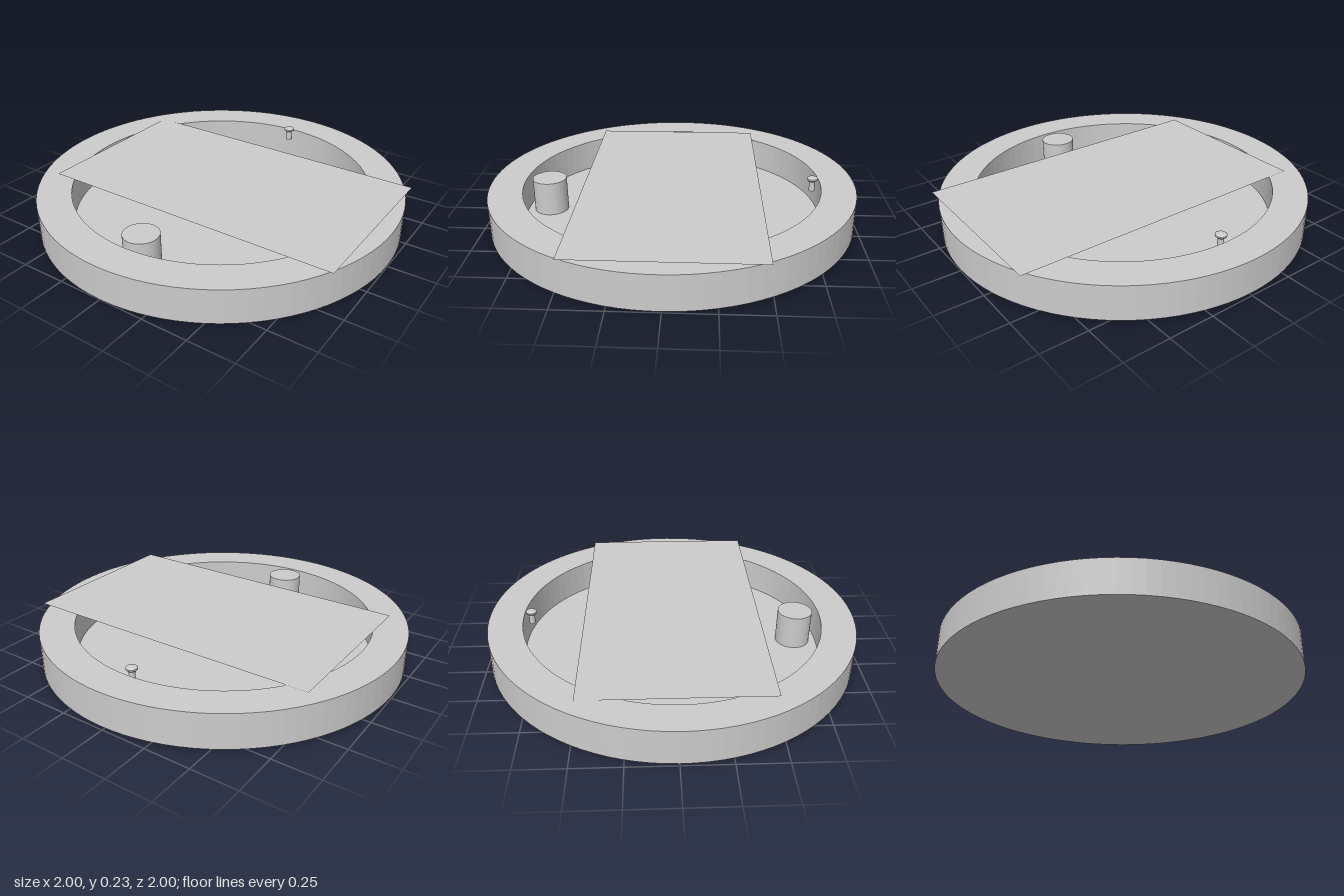
import * as THREE from 'three';

export function createModel() {
  const model = new THREE.Group();
  const grey = new THREE.MeshStandardMaterial({ color: 0xcccccc });
  grey.name = 'grey';
  grey.flatShading = true;
  grey.side = THREE.DoubleSide;

  const add = (parent, name, geometry, x = 0, y = 0, z = 0) => {
    const mesh = new THREE.Mesh(geometry, grey);
    mesh.name = name;
    mesh.position.set(x, y, z);
    parent.add(mesh);
    return mesh;
  };
  const lathe = (points, sides) =>
    new THREE.LatheGeometry(points.map(([r, y]) => new THREE.Vector2(r, y)), sides);

  // Tray, peg and pin lean very slightly towards the front
  const base = new THREE.Group();
  base.name = 'base';
  base.position.y = 0.01;
  base.rotation.set(0.009, 0, -0.003);
  model.add(base);

  // Round tray: closed underneath, wide rim, deep recess with a thin floor
  add(base, 'tray', lathe([
    [0, 0], [1, 0], [1, 0.186], [0.815, 0.186], [0.815, 0.008], [0, 0.008],
  ], 96));

  // Thick peg standing in the recess at the front
  add(base, 'peg', new THREE.CylinderGeometry(0.094, 0.094, 0.187, 48), 0, 0.1015, 0.685);

  // Small pin with a domed head at the back
  add(base, 'pin', lathe([
    [0, 0.135], [0.016, 0.135], [0.016, 0.192], [0.022, 0.192], [0.03, 0.2],
    [0.03, 0.208], [0.022, 0.214], [0, 0.217],
  ], 24), 0, 0, -0.775);

  // Flat rectangular sheet lying across the rim
  const sheet = add(model, 'coverSheet', new THREE.PlaneGeometry(1.7, 0.955), 0.07, 0.207, -0.002);
  sheet.rotation.x = -Math.PI / 2;

  return model;
}
